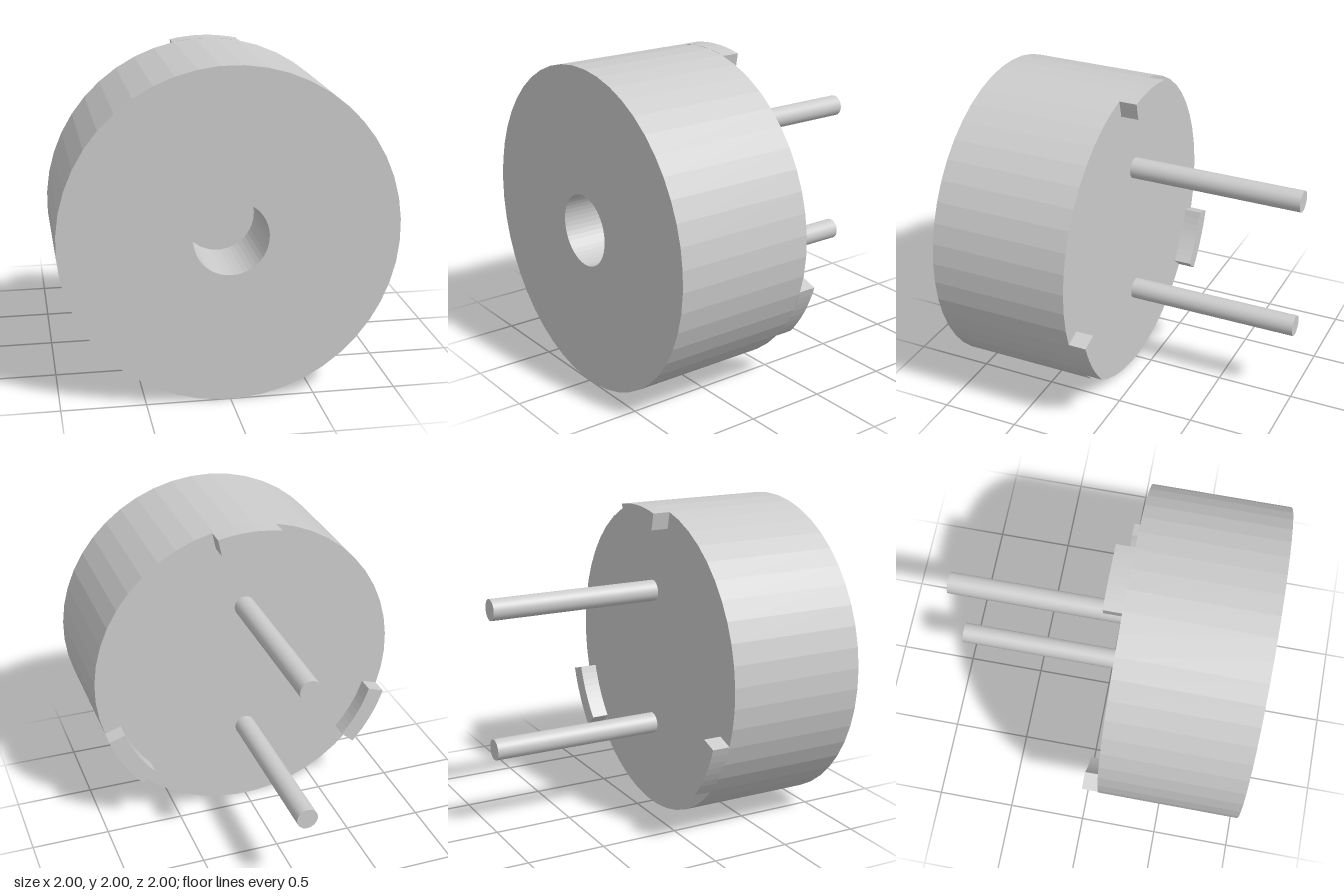
import * as THREE from 'three';

export function createModel() {
  const model = new THREE.Group();
  const material = new THREE.MeshStandardMaterial({ color: 0xcccccc, flatShading: true });
  const smooth = new THREE.MeshStandardMaterial({ color: 0xcccccc });
  const centreY = 1, backZ = 0.113;

  const add = (name, geometry, mat, x, y, z) => {
    const mesh = new THREE.Mesh(geometry, mat);
    mesh.name = name;
    mesh.position.set(x, y, z);
    model.add(mesh);
    return mesh;
  };

  // Round housing with a blind sound hole in the front, turned about z
  const profile = [
    [0, backZ], [1, backZ], [1, 1], [0.222, 1], [0.222, 0.55], [0, 0.55],
  ].map(([r, z]) => new THREE.Vector2(r, z));
  const segments = 48;
  const body = new THREE.LatheGeometry(profile, segments, Math.PI / segments);
  body.rotateX(Math.PI / 2);
  add('housing', body, material, 0, centreY, 0);

  // Three curved standoff feet on the rim of the back face
  const half = THREE.MathUtils.degToRad(12);
  for (const [name, degrees] of [['topFoot', 90], ['lowerRightFoot', 210], ['lowerLeftFoot', 330]]) {
    const a = THREE.MathUtils.degToRad(degrees);
    const arc = new THREE.Shape();
    arc.absarc(0, 0, 1, a - half, a + half, false);
    arc.absarc(0, 0, 0.89, a + half, a - half, true);
    arc.closePath();
    const foot = new THREE.ExtrudeGeometry(arc, { depth: backZ, bevelEnabled: false, curveSegments: 4 });
    add(name, foot, material, 0, centreY, 0);
  }

  // Two contact pins reaching backwards
  const pinLength = 1 + backZ;
  const pin = new THREE.CylinderGeometry(0.067, 0.067, pinLength, 32);
  pin.rotateX(Math.PI / 2);
  for (const [name, y] of [['upperPin', 0.445], ['lowerPin', -0.445]]) {
    add(name, pin, smooth, 0, centreY + y, -1 + pinLength / 2);
  }

  return model;
}
